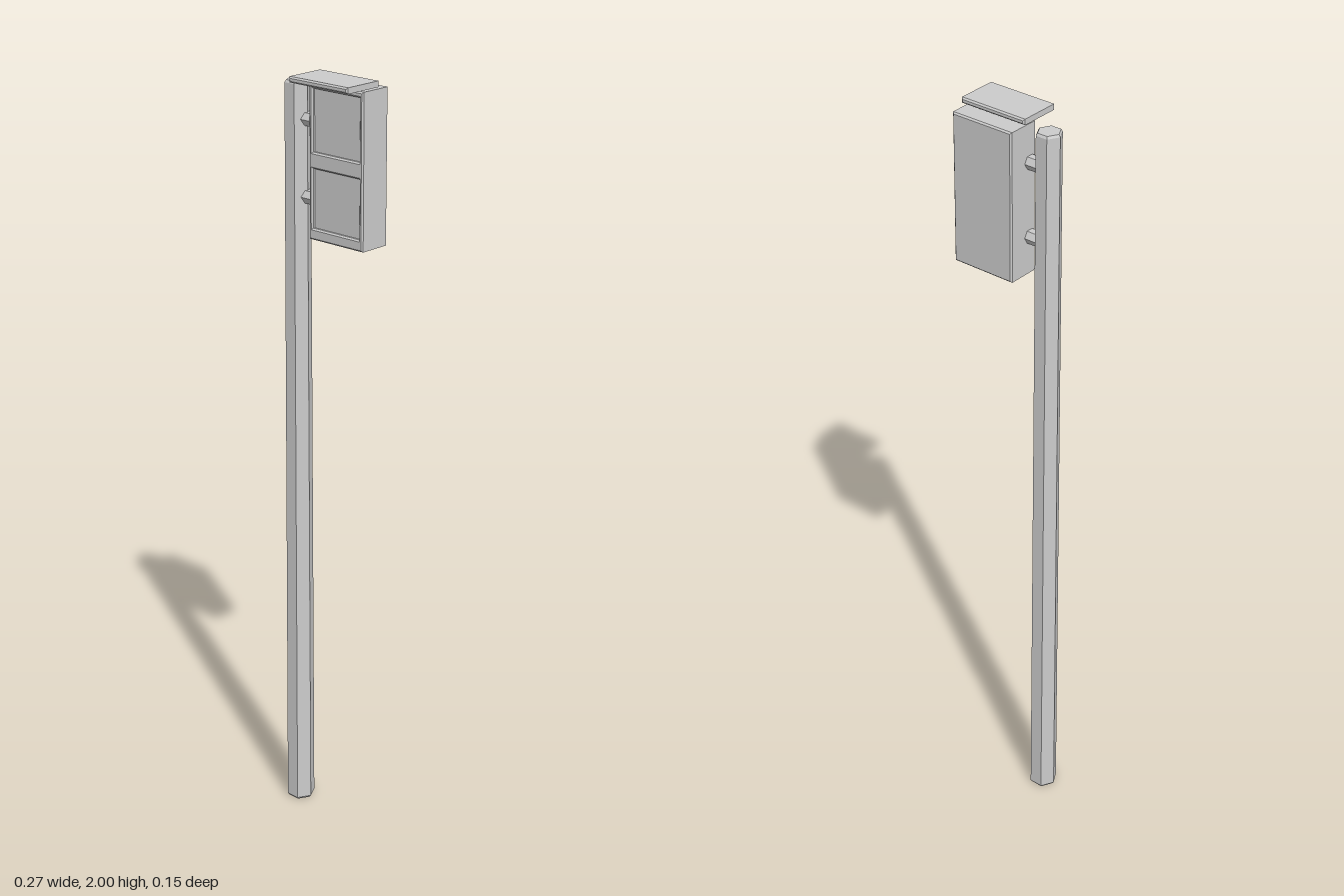
import * as THREE from 'three';

const material = new THREE.MeshStandardMaterial({ color: 0xcccccc, flatShading: true });

function add(group, name, geometry, x = 0, y = 0, z = 0) {
  const mesh = new THREE.Mesh(geometry, material);
  mesh.name = name;
  mesh.position.set(x, y, z);
  group.add(mesh);
  return mesh;
}

// Rectangle outline from two corners
function rect(Type, x0, y0, x1, y1) {
  return new Type([[x0, y0], [x1, y0], [x1, y1], [x0, y1]].map(p => new THREE.Vector2(...p)));
}

// Slab with chamfered edges, filling the given bounds, with optional openings
function slab(x0, x1, y0, y1, z0, z1, b, holes = []) {
  const shape = rect(THREE.Shape, x0 + b, y0 + b, x1 - b, y1 - b);
  shape.holes = holes.map(h => rect(THREE.Path, ...h));
  const geometry = new THREE.ExtrudeGeometry(shape, {
    depth: z1 - z0 - 2 * b, bevelThickness: b, bevelSize: b, bevelSegments: 1,
  });
  return geometry.translate(0, 0, z0 + b);
}

export function createModel() {
  const group = new THREE.Group();

  // Tapered six-sided pole with chamfered ends
  const profile = [[0, 0], [0.032, 0], [0.0365, 0.006], [0.032, 1.969], [0.028, 1.975], [0, 1.975]]
    .map(p => new THREE.Vector2(...p));
  const pole = new THREE.LatheGeometry(profile, 6, Math.PI / 6).scale(1, 1, 1.05);
  add(group, 'pole', pole, -0.101, 0, -0.006);

  // Six-sided brackets joining the pole to the signal box
  for (const y of [1.882, 1.689]) {
    const bracket = new THREE.CylinderGeometry(0.0185, 0.0185, 0.06, 6).rotateZ(Math.PI / 2);
    add(group, 'bracket', bracket, -0.07, y, -0.009);
  }

  // Signal box with two recessed panels behind a front frame
  add(group, 'signalBox', slab(-0.047, 0.129, 1.59, 1.979, -0.077, 0.004, 0.004));
  const openings = [[-0.039, 1.805, 0.121, 1.968], [-0.039, 1.615, 0.121, 1.772]];
  add(group, 'frontFrame', slab(-0.047, 0.129, 1.59, 1.979, -0.006, 0.013, 0.004, openings));

  // Thin canopy above the box
  add(group, 'canopy', slab(-0.053, 0.135, 1.985, 2, -0.038, 0.075, 0.004));

  return group;
}
